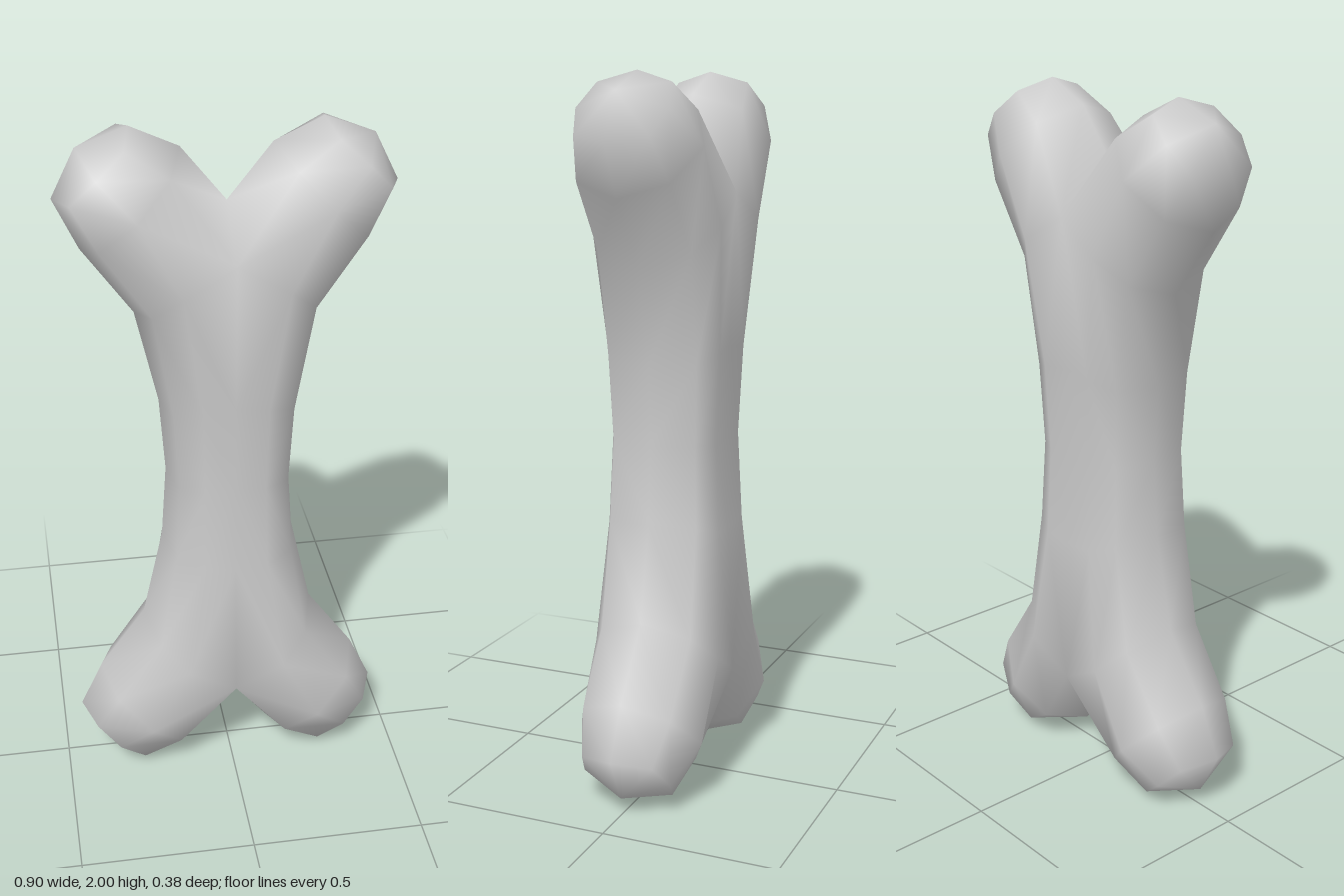
import * as THREE from 'three';
import { mergeVertices } from 'three/addons/utils/BufferGeometryUtils.js';

// One quarter of the bone as cross-sections from the waist out to a knob.
// Each row: inner corner, front ridge, outer corner, outer middle, inner middle.
// The first two sections are open at x = 0, the others close around the knob.
const SECTIONS = [
  [[0, 1, 0.15], [0.085, 1, 0.156], [0.153, 1, 0.122], [0.175, 1, 0]],
  [[0, 1.26, 0.16], [0.09, 1.25, 0.168], [0.164, 1.23, 0.13], [0.19, 1.22, 0]],
  [[0, 1.68, 0.178], [0.14, 1.6, 0.19], [0.215, 1.53, 0.135], [0.25, 1.49, 0], [0, 1.79, 0]],
  [[0.16, 1.9, 0.131], [0.25, 1.81, 0.185], [0.346, 1.72, 0.131], [0.385, 1.68, 0], [0.12, 1.94, 0]],
  [[0.27, 1.97, 0.105], [0.345, 1.905, 0.13], [0.41, 1.835, 0.105], [0.45, 1.82, 0], [0.25, 2, 0]],
];
const TIP = [0.385, 1.95, 0];

// Complete a section with its mirrored back half
function fullRing([inner, ridge, outer, side, middle]) {
  const back = ([x, y, z]) => [x, y, -z];
  const ring = [inner, ridge, outer, side, back(outer), back(ridge), back(inner)];
  if (middle) ring.push(middle);
  return ring;
}

function boneGeometry() {
  const rings = SECTIONS.map(fullRing);
  const triangles = [];
  // Skin neighbouring sections
  for (let i = 0; i < rings.length - 1; i++) {
    const lower = rings[i], upper = rings[i + 1];
    const closed = lower.length === 8;
    for (let j = 0; j < (closed ? 8 : 6); j++) {
      const k = (j + 1) % 8;
      triangles.push([lower[j], lower[k], upper[k]], [lower[j], upper[k], upper[j]]);
    }
  }
  // Round the end of the knob to a point
  const last = rings[rings.length - 1];
  last.forEach((p, j) => triangles.push([p, last[(j + 1) % 8], TIP]));

  // Mirror the quarter left to right and top to bottom
  const positions = [];
  for (const sx of [1, -1]) {
    for (const sy of [1, -1]) {
      for (const [a, b, c] of triangles) {
        const corners = sx * sy > 0 ? [a, b, c] : [a, c, b];
        for (const [x, y, z] of corners) positions.push(sx * x, 1 + sy * (y - 1), z);
      }
    }
  }
  const raw = new THREE.BufferGeometry();
  raw.setAttribute('position', new THREE.Float32BufferAttribute(positions, 3));
  const geometry = mergeVertices(raw, 1e-4);
  geometry.computeVertexNormals();
  return geometry;
}

export function createModel() {
  const model = new THREE.Group();
  model.name = 'bone';
  const material = new THREE.MeshStandardMaterial({ color: 0xcccccc });
  const shaft = new THREE.Mesh(boneGeometry(), material);
  shaft.name = 'shaftAndKnobs';
  model.add(shaft);
  return model;
}
